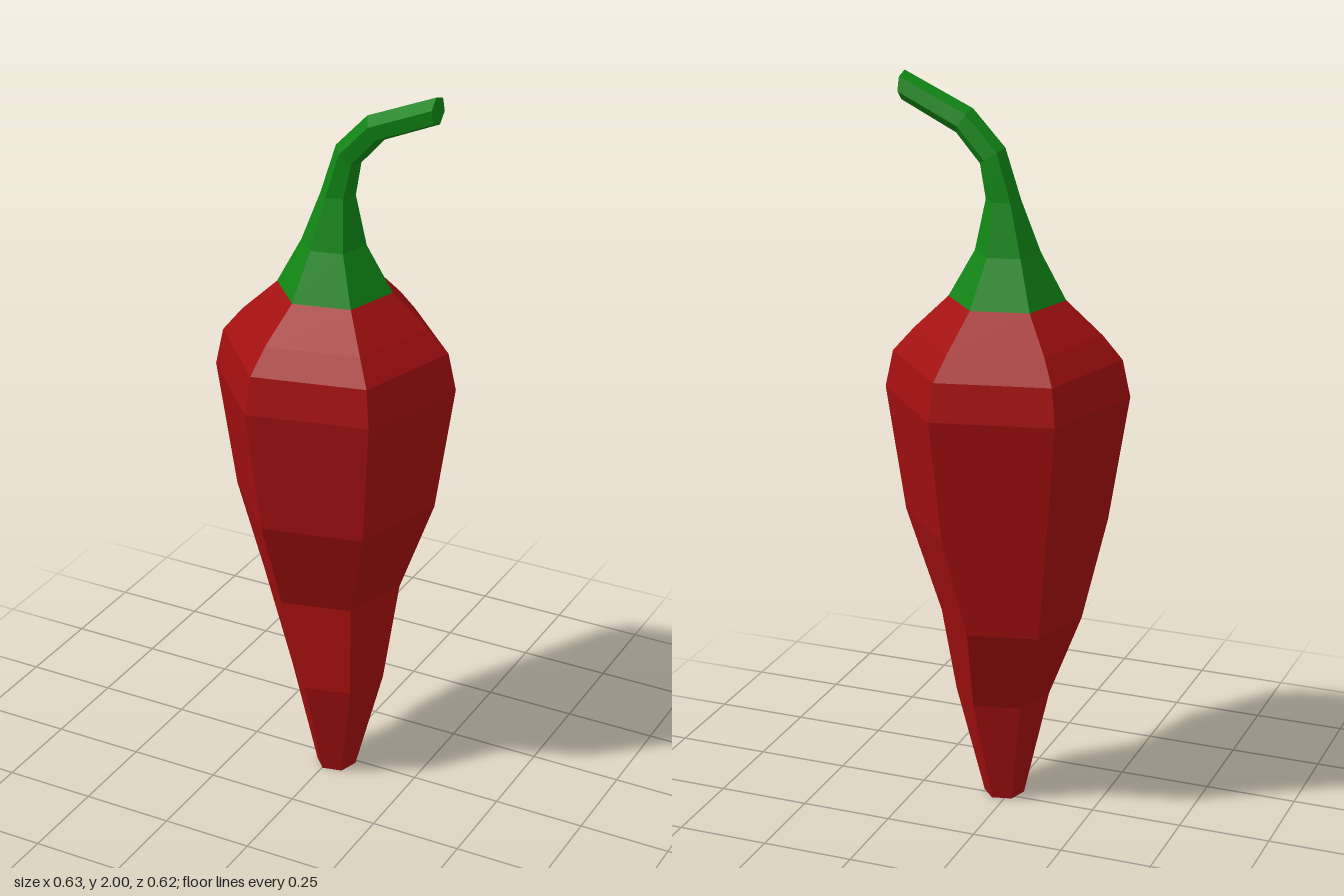
import * as THREE from 'three';

const SIDES = 6;
const PHASE = THREE.MathUtils.degToRad(-13);

// Skins a row of hexagonal rings [cx, cy, cz, radius, tilt in degrees towards +x]
function loft(rings, capStart, capEnd) {
  const positions = [];
  const index = [];
  for (const [cx, cy, cz, r, tilt = 0] of rings) {
    const t = THREE.MathUtils.degToRad(tilt);
    for (let i = 0; i < SIDES; i++) {
      const a = PHASE + (i / SIDES) * Math.PI * 2;
      const u = r * Math.cos(a);
      positions.push(cx + u * Math.cos(t), cy - u * Math.sin(t), cz + r * Math.sin(a));
    }
  }
  for (let k = 0; k < rings.length - 1; k++) {
    for (let i = 0; i < SIDES; i++) {
      const a = k * SIDES + i;
      const b = k * SIDES + ((i + 1) % SIDES);
      index.push(a, a + SIDES, b, b, a + SIDES, b + SIDES);
    }
  }
  const last = (rings.length - 1) * SIDES;
  for (let i = 1; i < SIDES - 1; i++) {
    if (capStart) index.push(0, i, i + 1);
    if (capEnd) index.push(last, last + i + 1, last + i);
  }
  const indexed = new THREE.BufferGeometry();
  indexed.setAttribute('position', new THREE.Float32BufferAttribute(positions, 3));
  indexed.setIndex(index);
  const geometry = indexed.toNonIndexed();
  geometry.computeVertexNormals();
  return geometry;
}

export function createModel() {
  const red = new THREE.MeshStandardMaterial({ color: 0xa30f0f, flatShading: true });
  red.name = 'pepper red';
  const green = new THREE.MeshStandardMaterial({ color: 0x118515, flatShading: true });
  green.name = 'stem green';

  const group = new THREE.Group();
  group.name = 'chilliPepper';

  // Pepper body, from the blunt tip up to the shoulder
  const body = new THREE.Mesh(loft([
    [0.018, 0, 0.024, 0.055],
    [0.025, 0.3, 0.03, 0.128],
    [-0.02, 0.555, -0.02, 0.19],
    [0.004, 0.83, 0.006, 0.272],
    [0, 1.175, 0, 0.324],
    [0, 1.275, 0, 0.303],
    [-0.002, 1.34, 0, 0.248],
    [0, 1.43, 0, 0.154],
  ], true, false), red);
  body.name = 'body';

  // Cap and stem, flaring at the base and bending over towards +x
  const stem = new THREE.Mesh(loft([
    [0, 1.43, 0, 0.154],
    [-0.001, 1.555, 0.002, 0.086],
    [0.011, 1.69, 0.002, 0.046],
    [0.041, 1.802, 0.003, 0.039, 34],
    [0.12, 1.886, 0.008, 0.038, 57],
    [0.296, 1.963, 0.022, 0.038, 88],
  ], false, true), green);
  stem.name = 'stem';

  group.add(body, stem);
  return group;
}
